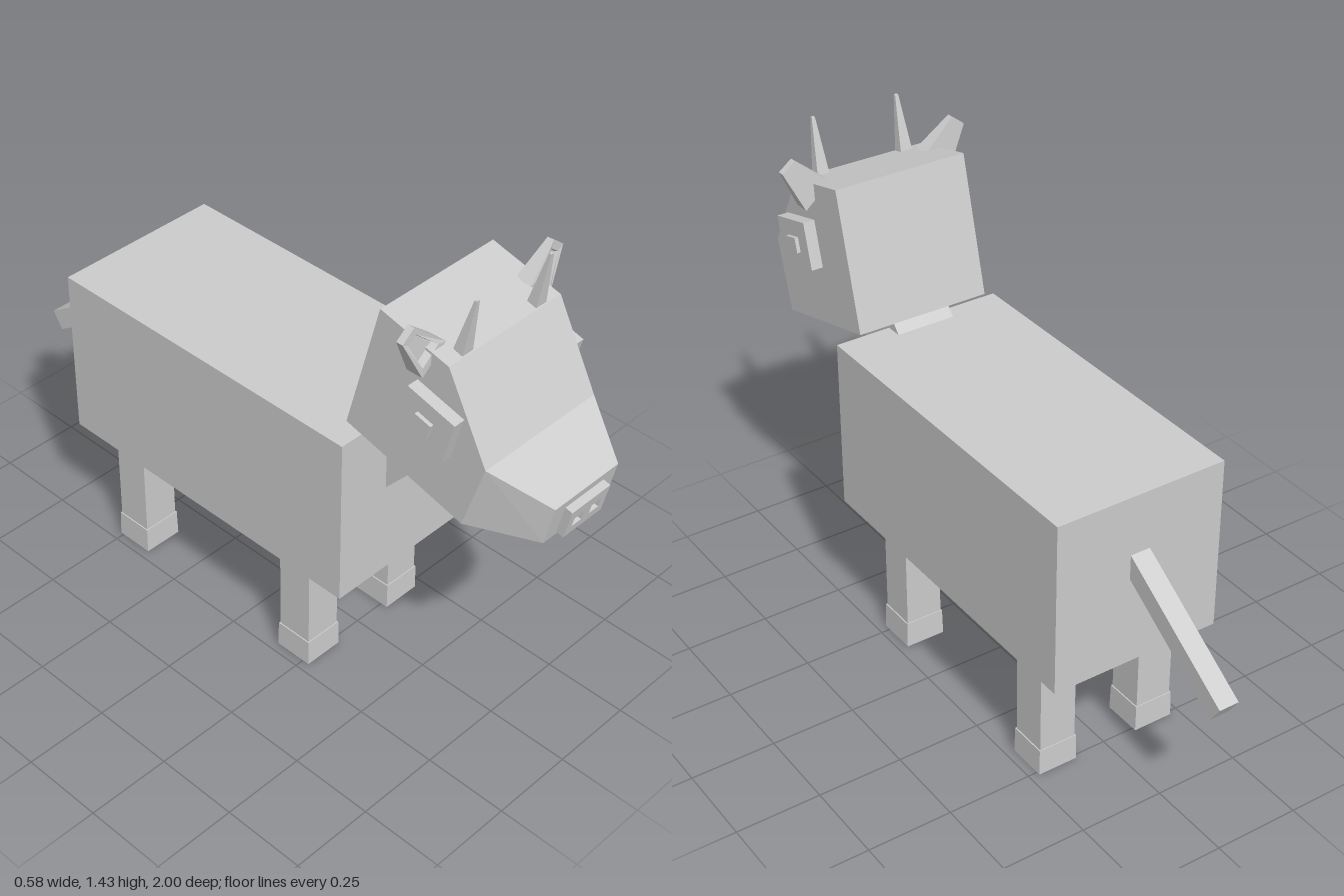
import * as THREE from 'three';

const material = new THREE.MeshStandardMaterial({ color: 0xcccccc, flatShading: true });

function addMesh(parent, name, geometry, x = 0, y = 0, z = 0, rotX = 0) {
  const mesh = new THREE.Mesh(geometry, material);
  mesh.name = name;
  mesh.position.set(x, y, z);
  mesh.rotation.x = rotX;
  parent.add(mesh);
  return mesh;
}

const addBox = (parent, name, [w, h, d], [x, y, z], rotX = 0) =>
  addMesh(parent, name, new THREE.BoxGeometry(w, h, d), x, y, z, rotX);

// Joins four-cornered loops (anticlockwise seen from the far end) and caps both ends.
function loft(loops) {
  const positions = [];
  const quad = (a, b, c, d) => positions.push(...a, ...b, ...c, ...a, ...c, ...d);
  for (let k = 0; k < loops.length - 1; k++) {
    const a = loops[k], b = loops[k + 1];
    for (let i = 0; i < 4; i++) {
      const j = (i + 1) % 4;
      quad(a[i], a[j], b[j], b[i]);
    }
  }
  quad(...[...loops[0]].reverse());
  quad(...loops[loops.length - 1]);
  const geometry = new THREE.BufferGeometry();
  geometry.setAttribute('position', new THREE.Float32BufferAttribute(positions, 3));
  geometry.computeVertexNormals();
  return geometry;
}

// Upright tapered block: [x, y, z, width, depth] at the bottom and at the top.
function taper(bottom, top) {
  const ring = ([x, y, z, w, d]) => [[-1, 1], [1, 1], [1, -1], [-1, -1]]
    .map(([i, j]) => [x + i * w / 2, y, z + j * d / 2]);
  return loft([ring(bottom), ring(top)]);
}

// Skull and snout as cross-sections: half width, bottom [z, y], top [z, y].
function headGeometry() {
  const sections = [
    [0.205, [0.383, 0.927], [0.485, 1.325]],
    [0.205, [0.57, 0.878], [0.705, 1.27]],
    [0.205, [0.77, 0.825], [0.833, 1.03]],
    [0.12, [0.957, 0.825], [0.984, 0.947]],
  ];
  return loft(sections.map(([w, [bz, by], [tz, ty]]) =>
    [[-w, by, bz], [w, by, bz], [w, ty, tz], [-w, ty, tz]]));
}

// Tapered ear with a sunken panel on its front face.
function earGeometry(side) {
  const outline = [[0.234, 1.223], [0.292, 1.342], [0.253, 1.372], [0.155, 1.29]];
  const halfDepth = [0.025, 0.01, 0.01, 0.025];
  const centre = [0.234, 1.307];
  const loop = (scale, depth) => {
    const points = outline.map(([x, y], i) => [
      side * (centre[0] + (x - centre[0]) * scale),
      centre[1] + (y - centre[1]) * scale,
      0.625 + halfDepth[i] * depth,
    ]);
    return side < 0 ? points.reverse() : points;
  };
  return loft([loop(1, -1), loop(1, 1), loop(0.66, 1), loop(0.6, 0.2)]);
}

// Nose plate with two square nostril openings.
function noseGeometry() {
  const rectangle = (path, x, y, w, h) => {
    path.moveTo(x - w / 2, y - h / 2);
    path.lineTo(x + w / 2, y - h / 2);
    path.lineTo(x + w / 2, y + h / 2);
    path.lineTo(x - w / 2, y + h / 2);
    path.closePath();
    return path;
  };
  const shape = rectangle(new THREE.Shape(), 0, 0, 0.146, 0.092);
  for (const x of [-0.033, 0.033]) shape.holes.push(rectangle(new THREE.Path(), x, -0.004, 0.036, 0.03));
  return new THREE.ExtrudeGeometry(shape, { depth: 0.028, bevelEnabled: false });
}

export function createModel() {
  const model = new THREE.Group();
  model.name = 'cow';

  // Trunk, neck and tail
  addBox(model, 'body', [0.518, 0.52, 1.045], [0, 0.635, -0.1025]);
  addBox(model, 'neck', [0.18, 0.42, 0.19], [0, 0.825, 0.437], 0.71);
  addBox(model, 'tail', [0.06, 0.062, 0.5], [0, 0.583, -0.773], -0.58);

  // Legs with slightly wider hooves
  for (const [end, z] of [['front', 0.212], ['back', -0.452]]) {
    for (const [side, s] of [['Left', 1], ['Right', -1]]) {
      const leg = new THREE.Group();
      leg.name = `${end}${side}Leg`;
      leg.position.set(s * 0.161, 0, z);
      addBox(leg, 'shank', [0.112, 0.34, 0.11], [0, 0.23, 0]);
      addMesh(leg, 'hoof', taper([0, 0, 0, 0.122, 0.119], [0, 0.08, 0, 0.119, 0.116]));
      model.add(leg);
    }
  }

  // Udder with four teats
  const udder = new THREE.Group();
  udder.name = 'udder';
  addBox(udder, 'bag', [0.206, 0.11, 0.207], [0, 0.34, -0.232]);
  for (const x of [-0.041, 0.041]) for (const z of [-0.19, -0.272]) {
    addMesh(udder, 'teat', taper([x, 0.22, z, 0.037, 0.037], [x, 0.29, z, 0.044, 0.044]));
  }
  model.add(udder);

  // Head
  const head = new THREE.Group();
  head.name = 'head';
  addMesh(head, 'skull', headGeometry());
  addMesh(head, 'nose', noseGeometry(), 0, 0.879, 0.963, 0.22);
  for (const [side, s] of [['left', 1], ['right', -1]]) {
    addMesh(head, `${side}Ear`, earGeometry(s));
    addMesh(head, `${side}Horn`, taper(
      [s * 0.135, 1.255, 0.682, 0.041, 0.034],
      [s * 0.134, 1.432, 0.719, 0.01, 0.008]));
    addBox(head, `${side}Eye`, [0.06, 0.137, 0.155], [s * 0.21, 1.097, 0.668], 0.26);
    addBox(head, `${side}Pupil`, [0.04, 0.044, 0.052], [s * 0.231, 1.097, 0.665], 0.26);
  }
  model.add(head);

  return model;
}
